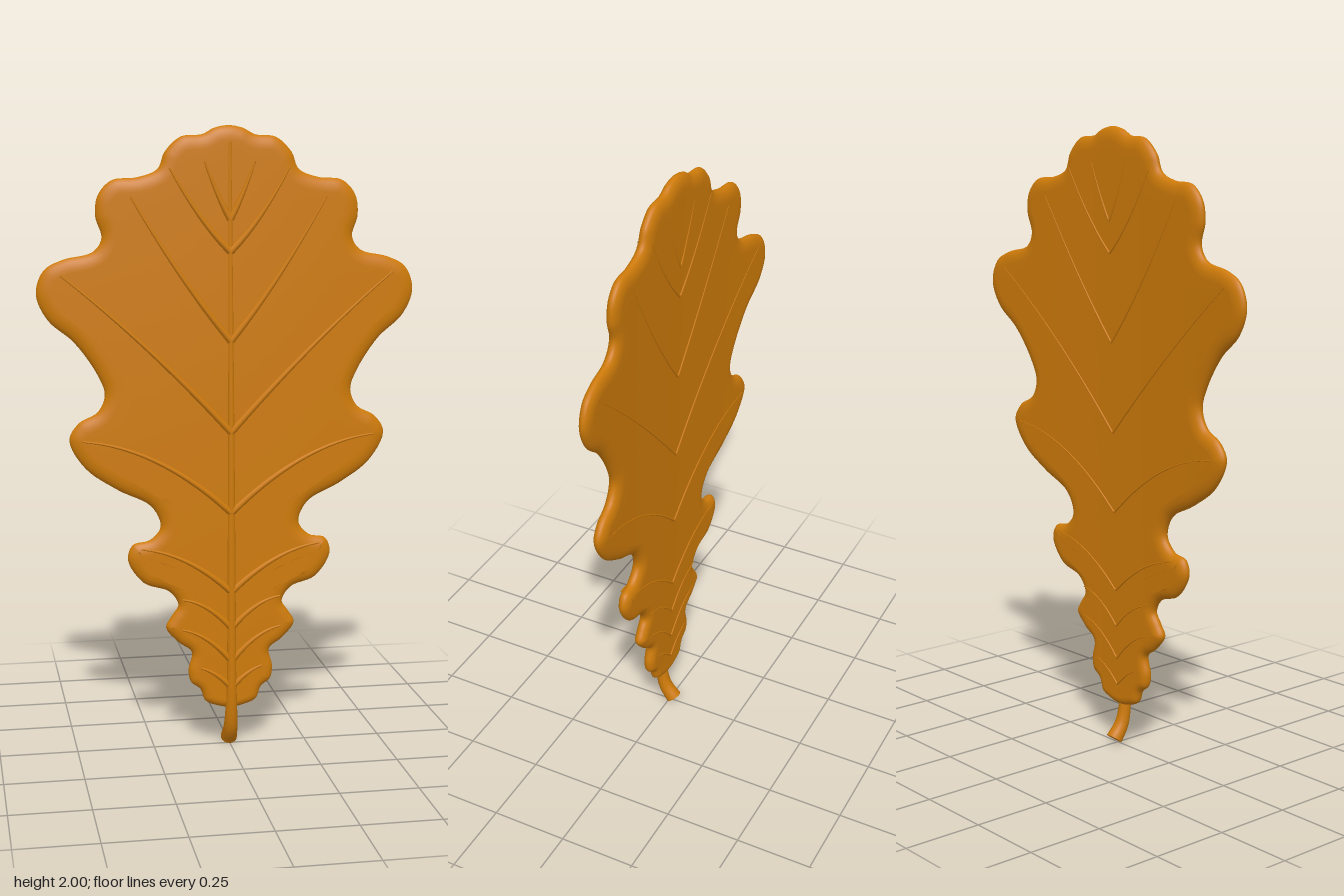
import * as THREE from 'three';
import { mergeVertices } from 'three/addons/utils/BufferGeometryUtils.js';

// Right half of the lobed outline, base to tip: x, y, and the midrib height it fans out from
const OUTLINE = [
  [0, 0.13, 0.15], [0.04, 0.136, 0.16], [0.083, 0.155, 0.17], [0.1, 0.195, 0.18], [0.13, 0.22, 0.19],
  [0.138, 0.262, 0.21], [0.127, 0.32, 0.24],
  [0.17, 0.355, 0.28], [0.21, 0.405, 0.31], [0.19, 0.445, 0.34], [0.17, 0.48, 0.38],
  [0.2, 0.525, 0.42], [0.28, 0.555, 0.46], [0.33, 0.63, 0.5], [0.315, 0.68, 0.53], [0.26, 0.695, 0.57],
  [0.225, 0.74, 0.62], [0.255, 0.805, 0.66], [0.36, 0.86, 0.7], [0.46, 0.93, 0.74], [0.51, 1.02, 0.78],
  [0.48, 1.075, 0.82], [0.42, 1.11, 0.86], [0.397, 1.165, 0.9], [0.42, 1.23, 0.94], [0.49, 1.33, 0.98],
  [0.57, 1.4, 1.01], [0.605, 1.48, 1.05], [0.58, 1.555, 1.1], [0.52, 1.588, 1.14], [0.43, 1.61, 1.18],
  [0.4, 1.655, 1.23], [0.418, 1.72, 1.28], [0.41, 1.785, 1.33], [0.365, 1.832, 1.39], [0.29, 1.84, 1.45],
  [0.225, 1.865, 1.52], [0.2, 1.92, 1.59], [0.15, 1.965, 1.65], [0.085, 1.972, 1.71], [0.045, 1.992, 1.76], [0, 2, 1.8],
];
// Side veins: origin height on the midrib, then end x, y and upward bow
const VEINS = [
  [0.2, 0.1, 0.27, 0.01], [0.29, 0.16, 0.4, 0.02], [0.4, 0.16, 0.5, 0.02], [0.52, 0.29, 0.67, 0.03],
  [0.78, 0.47, 1.02, 0.05], [1.04, 0.53, 1.54, 0.02], [1.33, 0.31, 1.78, -0.02],
  [1.61, 0.19, 1.87, -0.02], [1.71, 0.08, 1.89, -0.01],
];

// Domed front and flatter back of the blade, both leaning back towards the tip
const lean = y => Math.max(0, (y - 0.2) / 1.8);
const frontZ = (x, y) => 0.037 - 0.095 * x * x - 0.036 * lean(y) ** 2;
const backZ = (x, y) => -0.003 - 0.067 * x * x - 0.04 * lean(y);

function bladeGeometry() {
  const right = OUTLINE.map(p => new THREE.Vector3(...p));
  const left = right.slice(1, -1).reverse().map(p => new THREE.Vector3(-p.x, p.y, p.z));
  const curve = new THREE.CatmullRomCurve3([...right, ...left], true);
  const cols = 6 * (right.length + left.length);

  // Cross-section from the midrib out to the rim: share of the rim inset, share of the way
  // to the midrib, and fullness (1 on the front surface, -1 on the back)
  const half = [1, 0.85, 0.7, 0.55, 0.4, 0.25, 0.12].map(t => [1, t, 1]);
  for (let i = 6; i >= 0; i--) {
    const a = i / 6 * Math.PI / 2;
    half.push([1 - Math.cos(a), 0, Math.sin(a)]);
  }
  const rows = [...half, ...half.slice(0, -1).reverse().map(([d, t, f]) => [d, t, -f])];

  const pos = [], index = [];
  for (const [d, t, full] of rows) {
    for (let c = 0; c < cols; c++) {
      const p = curve.getPoint(c / cols), g = curve.getTangent(c / cols);
      const inset = d * (0.02 + 0.025 * Math.min(1, p.y / 0.8)) / Math.hypot(g.x, g.y);
      const x = (p.x - g.y * inset) * (1 - t);
      const y = THREE.MathUtils.lerp(p.y + g.x * inset, p.z, t);
      pos.push(x, y, THREE.MathUtils.lerp(backZ(x, y), frontZ(x, y), (full + 1) / 2));
    }
  }
  for (let r = 0; r < rows.length - 1; r++) {
    for (let c = 0; c < cols; c++) {
      const n = (c + 1) % cols;
      const a = r * cols + c, b = a + cols, d = r * cols + n, e = d + cols;
      index.push(a, b, e, a, e, d);
    }
  }
  let geo = new THREE.BufferGeometry();
  geo.setAttribute('position', new THREE.Float32BufferAttribute(pos, 3));
  geo.setIndex(index);
  geo = mergeVertices(geo, 1e-5);
  geo.computeVertexNormals();
  return geo;
}

// Tube whose radius follows radiusAt(u)
function taperedTube(curve, segments, radiusAt, sides = 10) {
  const geo = new THREE.TubeGeometry(curve, segments, 1, sides);
  const pos = geo.attributes.position, v = new THREE.Vector3();
  for (let i = 0; i < pos.count; i++) {
    const u = Math.floor(i / (sides + 1)) / segments;
    const c = curve.getPointAt(u);
    v.fromBufferAttribute(pos, i).sub(c).multiplyScalar(radiusAt(u)).add(c);
    pos.setXYZ(i, v.x, v.y, v.z);
  }
  return geo;
}

export function createModel() {
  const group = new THREE.Group();
  const amber = new THREE.MeshStandardMaterial({ color: 0xcd7a09 });
  const add = (name, geo) => {
    const mesh = new THREE.Mesh(geo, amber);
    mesh.name = name;
    group.add(mesh);
    return mesh;
  };

  add('blade', bladeGeometry());

  // Midrib along the front, running on into the bent stem
  const path = [];
  for (let y = 1.95; y > 0.2; y -= 0.15) path.push(new THREE.Vector3(0, y, frontZ(0, y) - 0.002));
  path.push(new THREE.Vector3(0, 0.13, 0.031), new THREE.Vector3(0, 0.06, 0.016), new THREE.Vector3(0, 0.016, -0.016));
  const rib = new THREE.CatmullRomCurve3(path);
  add('midribAndStem', taperedTube(rib, 90, u => 0.005 + 0.012 * u + 0.01 * Math.max(0, (u - 0.85) / 0.15) ** 2, 14));

  // Cut end of the stem
  const cap = add('stemEnd', new THREE.CircleGeometry(0.027, 14));
  cap.position.copy(rib.getPointAt(1));
  cap.lookAt(cap.position.clone().add(rib.getTangentAt(1)));

  // Side veins, raised on the front and fainter on the back
  for (const [y0, x1, y1, bow] of VEINS) {
    for (const side of [1, -1]) {
      for (const [name, surfaceZ, radius] of [['frontVein', frontZ, 0.011], ['backVein', backZ, 0.004]]) {
        const points = [];
        for (let i = 0; i <= 8; i++) {
          const t = i / 8, x = x1 * t;
          const y = THREE.MathUtils.lerp(y0, y1, t) + bow * 4 * t * (1 - t);
          points.push(new THREE.Vector3(side * x, y, surfaceZ(x, y)));
        }
        const vein = new THREE.CatmullRomCurve3(points);
        add(name, taperedTube(vein, 24, u => radius * (1 - 0.75 * u), 8));
      }
    }
  }
  return group;
}
